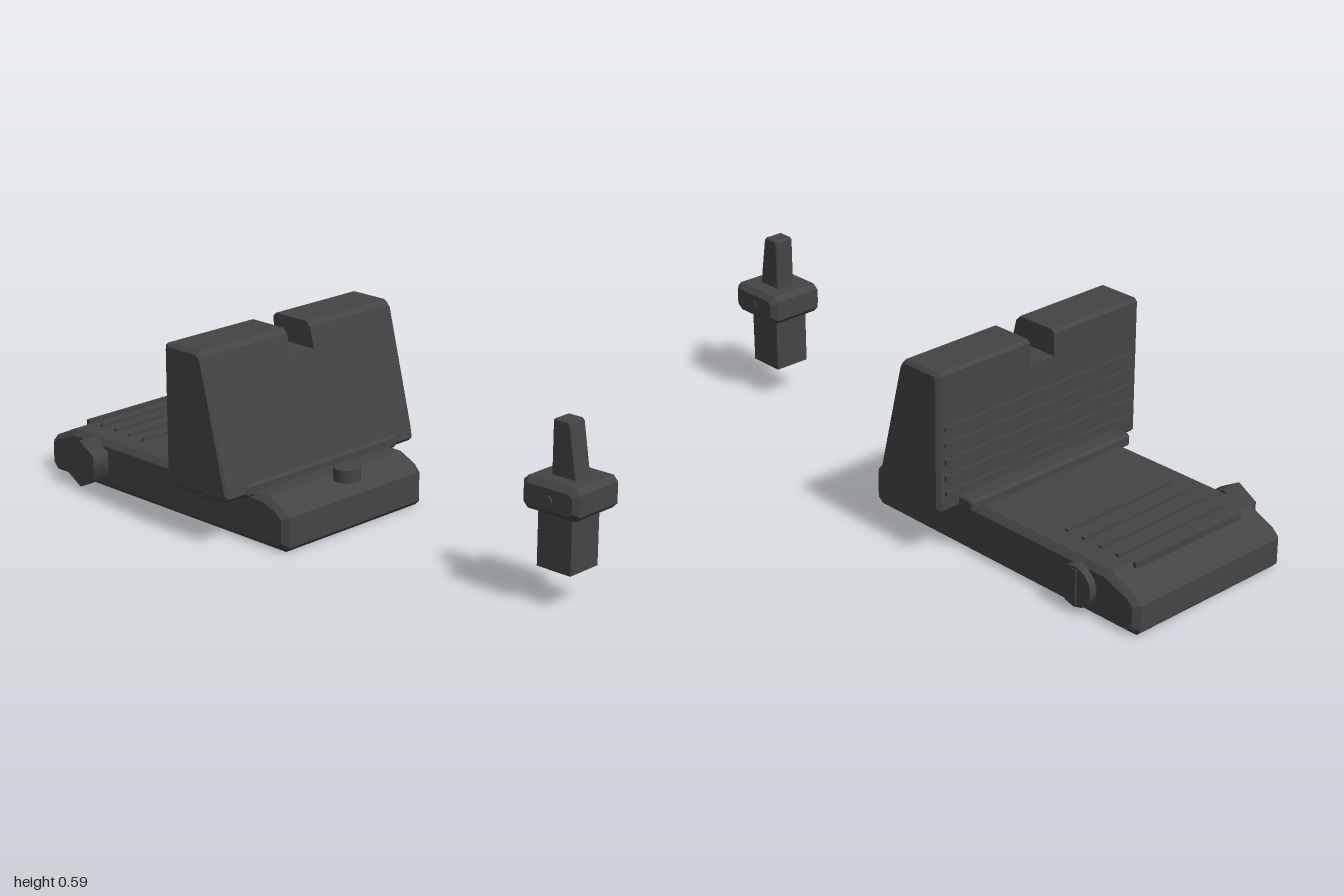
import * as THREE from 'three';
import { ConvexGeometry } from 'three/addons/geometries/ConvexGeometry.js';

// Convex prism along z from an x-y profile; c0 / c1 are the chamfers at its two ends
function prism(profile, z0, z1, c0, c1) {
  const xs = profile.map(p => p[0]), ys = profile.map(p => p[1]);
  const x0 = Math.min(...xs), x1 = Math.max(...xs), y0 = Math.min(...ys), y1 = Math.max(...ys);
  const cx = (x0 + x1) / 2, cy = (y0 + y1) / 2;
  const pts = [];
  const ring = (z, inset) => {
    const sx = 1 - 2 * inset / (x1 - x0), sy = 1 - 2 * inset / (y1 - y0);
    for (const [x, y] of profile) pts.push(new THREE.Vector3(cx + (x - cx) * sx, cy + (y - cy) * sy, z));
  };
  ring(z0, c0);
  if (c0) ring(z0 + c0, 0);
  if (c1) ring(z1 - c1, 0);
  ring(z1, c1);
  return new ConvexGeometry(pts);
}

// Rectangle with cut corners
const cutRect = (x0, x1, y0, y1, c) => [
  [x0 + c, y0], [x1 - c, y0], [x1, y0 + c], [x1, y1 - c],
  [x1 - c, y1], [x0 + c, y1], [x0, y1 - c], [x0, y0 + c],
];

export function createModel() {
  const model = new THREE.Group();
  const metal = new THREE.MeshStandardMaterial({ color: 0x444444 });
  const rear = new THREE.Group(), front = new THREE.Group();
  rear.name = 'rearSight';
  front.name = 'frontSight';
  model.add(rear, front);

  const add = (group, name, geometry, x = 0, y = 0, z = 0) => {
    const mesh = new THREE.Mesh(geometry, metal);
    mesh.name = name;
    mesh.position.set(x, y, z);
    group.add(mesh);
    return mesh;
  };
  const box = (group, name, w, h, d, x, y, z) => add(group, name, new THREE.BoxGeometry(w, h, d), x, y, z);
  const zCylinder = (group, name, r, len, sides, x, y, z) =>
    add(group, name, new THREE.CylinderGeometry(r, r, len, sides).rotateX(Math.PI / 2), x, y, z);

  // Base plate with sloped ends
  add(rear, 'base', prism([
    [-0.985, 0], [0.065, 0], [0.08, 0.015], [0.08, 0.11], [0.06, 0.132], [0, 0.16],
    [-0.89, 0.16], [-0.98, 0.118], [-1, 0.095], [-1, 0.015],
  ], -0.3, 0.3, 0.018, 0.018));

  // Grip ridges on the base
  for (let i = 0; i < 5; i++) box(rear, 'baseRidge', 0.012, 0.02, 0.43, -0.908 + i * 0.066, 0.158, 0);

  // Slide plate under the blade
  add(rear, 'slidePlate', prism(cutRect(-0.377, -0.055, 0.147, 0.188, 0.008), -0.325, 0.325, 0.006, 0.006));

  // Notched blade: two tall sides and a lower middle
  const side = [
    [-0.31, 0.15], [-0.07, 0.15], [-0.058, 0.162], [-0.062, 0.185], [-0.163, 0.575],
    [-0.178, 0.591], [-0.31, 0.591], [-0.32, 0.581], [-0.32, 0.16],
  ];
  const middle = [
    [-0.31, 0.15], [-0.07, 0.15], [-0.058, 0.162], [-0.062, 0.185], [-0.146, 0.51],
    [-0.32, 0.51], [-0.32, 0.16],
  ];
  add(rear, 'bladeLeft', prism(side, 0.049, 0.405, 0, 0.01));
  add(rear, 'bladeRight', prism(side, -0.405, -0.049, 0.01, 0));
  add(rear, 'bladeMiddle', prism(middle, -0.049, 0.049, 0, 0));

  // Ridges on the back of the blade
  for (let i = 0; i < 5; i++) box(rear, 'bladeRidge', 0.014, 0.014, 0.76, -0.322, 0.212 + i * 0.051, 0);

  // Screws and knobs
  add(rear, 'topScrew', new THREE.CylinderGeometry(0.042, 0.042, 0.04, 16), 0.042, 0.17, 0);
  zCylinder(rear, 'hexKnob', 0.077, 0.07, 6, -0.78, 0.087, 0.325);
  zCylinder(rear, 'sideScrew', 0.064, 0.035, 12, -0.785, 0.085, -0.307);
  box(rear, 'sideScrewSlot', 0.02, 0.11, 0.009, -0.785, 0.085, -0.325);
  zCylinder(rear, 'bladeScrew', 0.046, 0.07, 12, -0.215, 0.166, 0.36);

  // Front sight: stem, collar, tapered post and cross pin
  box(front, 'stem', 0.12, 0.19, 0.12, 0.896, 0.205, 0);
  add(front, 'collar', prism(cutRect(0.8, 1, 0.284, 0.38, 0.016), -0.098, 0.098, 0.016, 0.016));
  add(front, 'post', prism([
    [0.857, 0.37], [0.945, 0.37], [0.916, 0.537], [0.911, 0.542], [0.862, 0.542], [0.857, 0.537],
  ], -0.033, 0.033, 0.004, 0.004));
  zCylinder(front, 'crossPin', 0.015, 0.204, 10, 0.9, 0.33, 0);

  return model;
}
